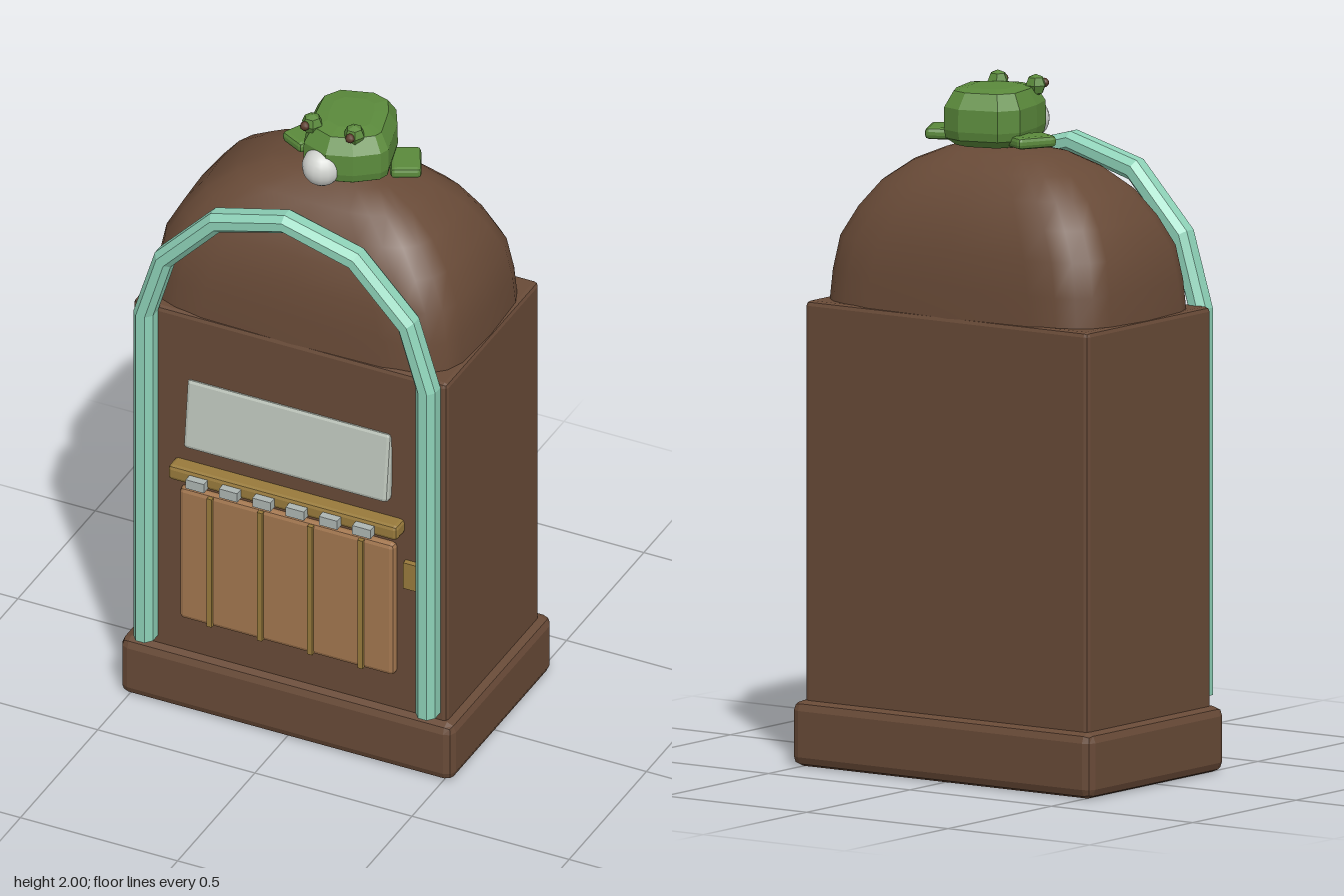
import * as THREE from 'three';
import { RoundedBoxGeometry } from 'three/addons/geometries/RoundedBoxGeometry.js';

const mat = (name, color) => Object.assign(new THREE.MeshStandardMaterial({ color }), { name });

// Joins rings of [x, y, z] points into a closed skin
function loft(rings, { caps = true, smooth = false } = {}) {
  const n = rings[0].length, pos = rings.flat(2), idx = [];
  for (let i = 0; i < rings.length - 1; i++) {
    for (let j = 0; j < n; j++) {
      const a = i * n + j, b = i * n + (j + 1) % n;
      idx.push(a, a + n, b, b, a + n, b + n);
    }
  }
  if (caps) {
    [0, rings.length - 1].forEach((r, end) => {
      const c = pos.length / 3;
      for (let k = 0; k < 3; k++) pos.push(rings[r].reduce((s, p) => s + p[k], 0) / n);
      for (let j = 0; j < n; j++) {
        const a = r * n + j, b = r * n + (j + 1) % n;
        idx.push(c, ...(end ? [b, a] : [a, b]));
      }
    });
  }
  let geo = new THREE.BufferGeometry();
  geo.setAttribute('position', new THREE.Float32BufferAttribute(pos, 3));
  geo.setIndex(idx);
  if (!smooth) geo = geo.toNonIndexed();
  geo.computeVertexNormals();
  return geo;
}

export function createModel() {
  const brown = mat('brown wood', 0x684a37);
  const mint = mat('mint trim', 0x8ed2b8);
  const tan = mat('tan wood', 0xa2764f);
  const gold = mat('old gold', 0x987a3c);
  const pale = mat('pale panel', 0xbcc4ba);
  const silver = mat('silver buttons', 0xadb5b2);
  const green = mat('frog green', 0x5b8a3c);
  const white = mat('throat white', 0xd2d4d0);
  const dark = mat('pupil brown', 0x5a3a2a);

  const root = new THREE.Group();
  root.name = 'jukebox';
  const add = (name, geo, material, x = 0, y = 0, z = 0, parent = root) => {
    const m = new THREE.Mesh(geo, material);
    m.name = name;
    m.position.set(x, y, z);
    parent.add(m);
    return m;
  };
  // Chamfered box given by its limits
  const box = (name, material, [x0, x1], [y0, y1], [z0, z1], bevel, parent = root) => {
    const geo = new RoundedBoxGeometry(x1 - x0, y1 - y0, z1 - z0, 1, bevel);
    geo.computeVertexNormals();
    return add(name, geo, material, (x0 + x1) / 2, (y0 + y1) / 2, (z0 + z1) / 2, parent);
  };

  // Cabinet
  box('plinth', brown, [-0.53, 0.53], [0, 0.19], [-0.355, 0.305], 0.028);
  box('cabinet', brown, [-0.5, 0.5], [0.17, 1.345], [-0.325, 0.275], 0.014);

  // Domed top: rounded-rectangle sections that shrink upwards
  const sections = [
    [1.33, 1, 5], [1.43, 0.985, 4.8], [1.53, 0.95, 4.5], [1.615, 0.86, 4],
    [1.69, 0.74, 3.6], [1.75, 0.57, 3.2], [1.79, 0.38, 2.8], [1.805, 0.18, 2.4], [1.81, 0.005, 2],
  ];
  const dome = sections.map(([y, s, e]) => Array.from({ length: 24 }, (_, i) => {
    const a = i / 24 * Math.PI * 2, c = Math.cos(a), d = Math.sin(a);
    const p = (v) => Math.sign(v) * Math.abs(v) ** (2 / e);
    return [0.495 * s * p(c), y, -0.025 + 0.297 * s * p(d)];
  }));
  add('dome', loft(dome, { caps: false, smooth: true }), brown);

  // Arched trim: outer and inner edge points, swept with an octagonal section
  const half = [
    [0.48, 0.215, 0.418, 0.215], [0.48, 1.335, 0.418, 1.335],
    [0.412, 1.555, 0.362, 1.52], [0.235, 1.742, 0.207, 1.685],
  ];
  const path = [...half, [0, 1.805, 0, 1.745],
    ...half.slice().reverse().map(([a, b, c, d]) => [-a, b, -c, d])];
  const octagon = [[1, -0.45], [1, 0.45], [0.45, 1], [-0.45, 1], [-1, 0.45], [-1, -0.45], [-0.45, -1], [0.45, -1]];
  add('archTrim', loft(path.map(([ox, oy, ix, iy]) => octagon.map(([u, v]) => [
    (ox + ix) / 2 + u * (ox - ix) / 2, (oy + iy) / 2 + u * (oy - iy) / 2, 0.2925 + v * 0.0375,
  ]))), mint);

  // Front fittings
  const screen = box('titlePanel', pale, [-0.325, 0.325], [0.903, 1.127], [0.255, 0.295], 0.012);
  screen.rotation.x = -0.12;
  box('buttonRail', gold, [-0.365, 0.365], [0.797, 0.845], [0.262, 0.325], 0.012);
  for (let i = 0; i < 6; i++) {
    add('button', new THREE.BoxGeometry(0.058, 0.03, 0.04), silver, -0.265 + 0.106 * i, 0.817, 0.33);
  }
  box('grille', tan, [-0.342, 0.342], [0.31, 0.76], [0.262, 0.298], 0.014);
  for (let i = 0; i < 4; i++) {
    add('grilleBar', new THREE.BoxGeometry(0.016, 0.44, 0.03), gold, -0.24 + 0.16 * i, 0.535, 0.293);
  }
  add('coinSlot', new THREE.BoxGeometry(0.055, 0.088, 0.03), gold, 0.397, 0.665, 0.278);

  // Frog on top
  const frog = new THREE.Group();
  frog.name = 'frog';
  root.add(frog);
  const outline = [
    [-0.09, -0.09], [-0.055, -0.15], [0.06, -0.185], [0.125, -0.165], [0.16, -0.1], [0.195, 0.03],
    [0.185, 0.06], [0.12, 0.11], [0.045, 0.135], [-0.04, 0.105], [-0.07, 0.02],
  ];
  const levels = [[1.808, 0.75], [1.83, 0.96], [1.855, 1], [1.92, 0.99], [1.965, 0.8], [1.972, 0.5]];
  add('frogBody', loft(levels.map(([y, s]) => outline.map(([x, z]) => [
    0.05 + (x - 0.05) * s, y, -0.025 + (z + 0.025) * s,
  ]))), green, 0, 0, 0, frog);
  add('throat', new THREE.SphereGeometry(0.058, 16, 12), white, 0.022, 1.862, 0.11, frog);
  for (const s of [-1, 1]) {
    const foot = box('frogFoot', green, [-0.045, 0.045], [1.812, 1.846], [-0.062, 0.062], 0.012, frog);
    foot.position.x = 0.052 + s * 0.155;
    foot.position.z = -0.055;
    foot.rotation.y = s * 0.47;
    const ex = 0.037 + s * 0.067;
    const eye = new THREE.SphereGeometry(0.032, 6, 4).toNonIndexed();
    eye.computeVertexNormals();
    add('frogEye', eye, green, ex, 1.968, 0.068, frog);
    add('pupil', new THREE.SphereGeometry(0.014, 8, 6), dark, ex + (s < 0 ? -0.01 : 0), 1.972, 0.096, frog);
  }
  return root;
}
